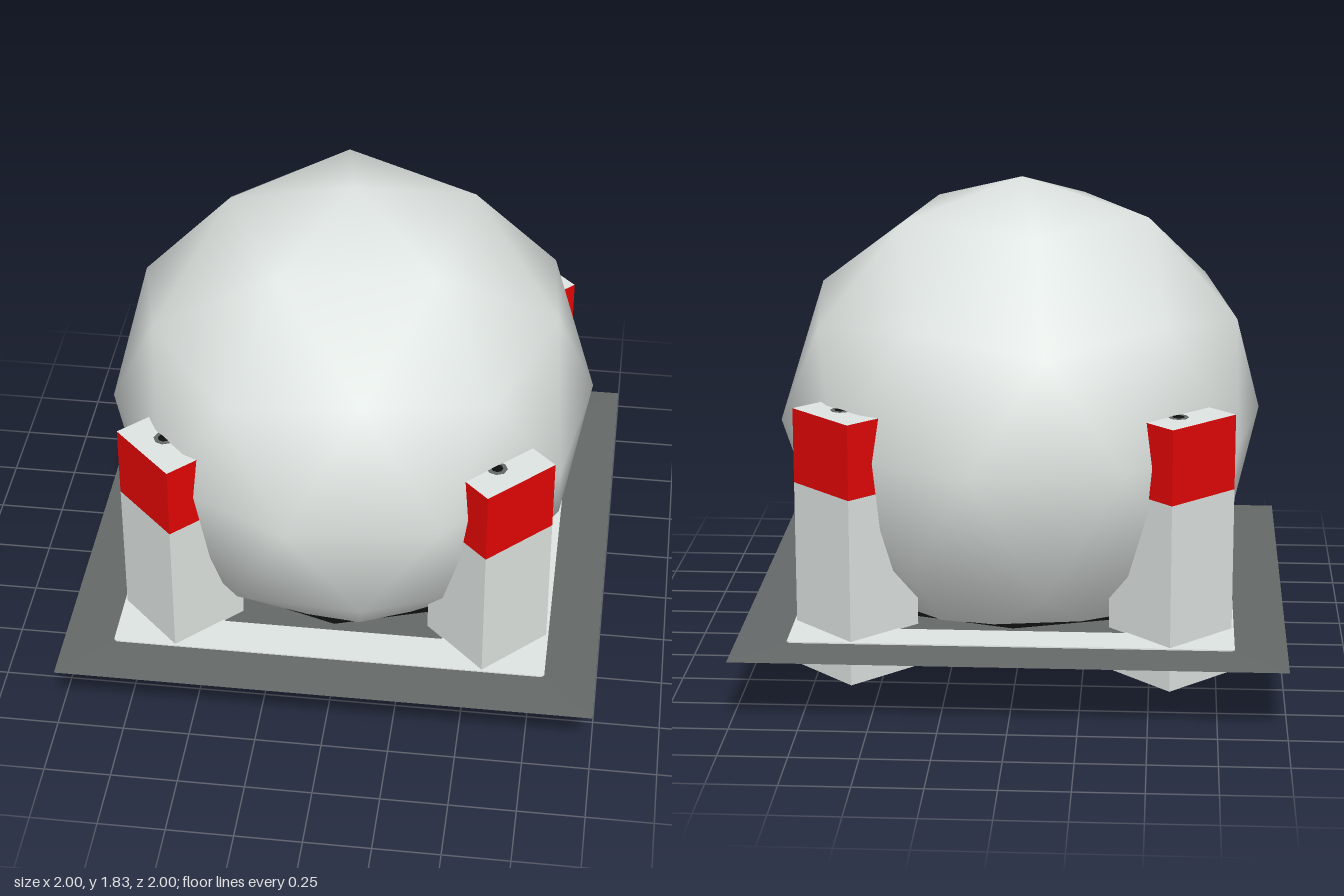
import * as THREE from 'three';

const mat = (name, color) => {
  const m = new THREE.MeshStandardMaterial({ color });
  m.name = name;
  return m;
};

export function createModel() {
  const light = mat('lightGrey', 0xe0e6e3);
  const red = mat('red', 0xe60505);
  const dark = mat('darkGrey', 0x656a69);
  const black = mat('black', 0x0c0d0d);

  const root = new THREE.Group();
  root.name = 'sphericalTank';
  const add = (parent, name, geometry, material, x = 0, y = 0, z = 0) => {
    const mesh = new THREE.Mesh(geometry, material);
    mesh.name = name;
    mesh.position.set(x, y, z);
    parent.add(mesh);
    return mesh;
  };

  // Tank: smooth-shaded icosphere standing on one of its vertices
  const R = 0.917;
  const ball = new THREE.IcosahedronGeometry(R, 1);
  ball.rotateZ(Math.atan(2 / (1 + Math.sqrt(5))));
  ball.rotateY(-Math.PI / 20);
  add(root, 'tank', ball, light, 0, R, 0);

  // Flat horizontal plate, square with clipped corners and an optional opening
  const clippedSquare = (Type, half, clip) => {
    const a = half - clip;
    return new Type([[half, -a], [half, a], [a, half], [-a, half],
      [-half, a], [-half, -a], [-a, -half], [a, -half]].map(p => new THREE.Vector2(...p)));
  };
  const plate = (half, clip, depth, hole) => {
    const shape = clippedSquare(THREE.Shape, half, clip);
    if (hole) shape.holes.push(hole);
    return new THREE.ExtrudeGeometry(shape, { depth, bevelEnabled: false }).rotateX(-Math.PI / 2);
  };

  // Base: shallow sloping apron, with a dark seam and a light panel underneath
  const apron = new THREE.CylinderGeometry(0.82 * Math.SQRT2, Math.SQRT2, 0.008, 4)
    .rotateY(Math.PI / 4).toNonIndexed();
  apron.computeVertexNormals();
  add(root, 'baseApron', apron, dark, 0, 0.258, 0);
  add(root, 'baseSeam', plate(0.955, 0.02, 0.002), black, 0, 0.253, 0);
  add(root, 'basePanel', plate(0.925, 0.03, 0.002), light, 0, 0.252, 0);

  // Light paving with an octagonal opening around the tank
  const opening = clippedSquare(THREE.Path, 0.65, 0.24);
  add(root, 'paving', plate(0.81, 0.01, 0.005, opening), light, 0, 0.262, 0);
  add(root, 'pit', new THREE.CylinderGeometry(0.61, 0.61, 0.002, 10), black, 0, 0.263, 0);

  // Four diagonal support posts with red bands and a flush fitting on top
  const side = 0.318;
  const d = 0.577 * Math.SQRT2;
  for (let i = 0; i < 4; i++) {
    const post = new THREE.Group();
    post.name = 'supportPost';
    post.rotation.y = Math.PI / 4 + i * Math.PI / 2;
    add(post, 'postShaft', new THREE.BoxGeometry(side, 0.7, side), light, 0, 0.45, d);
    add(post, 'postBand', new THREE.BoxGeometry(side, 0.28, side),
      [red, red, light, light, red, red], 0, 0.94, d);
    add(post, 'fitting', new THREE.CylinderGeometry(0.038, 0.038, 0.004, 8), dark, -0.02, 1.079, 0.862);
    add(post, 'fittingCore', new THREE.CylinderGeometry(0.022, 0.022, 0.004, 8), black, -0.02, 1.08, 0.862);
    root.add(post);
  }
  return root;
}
